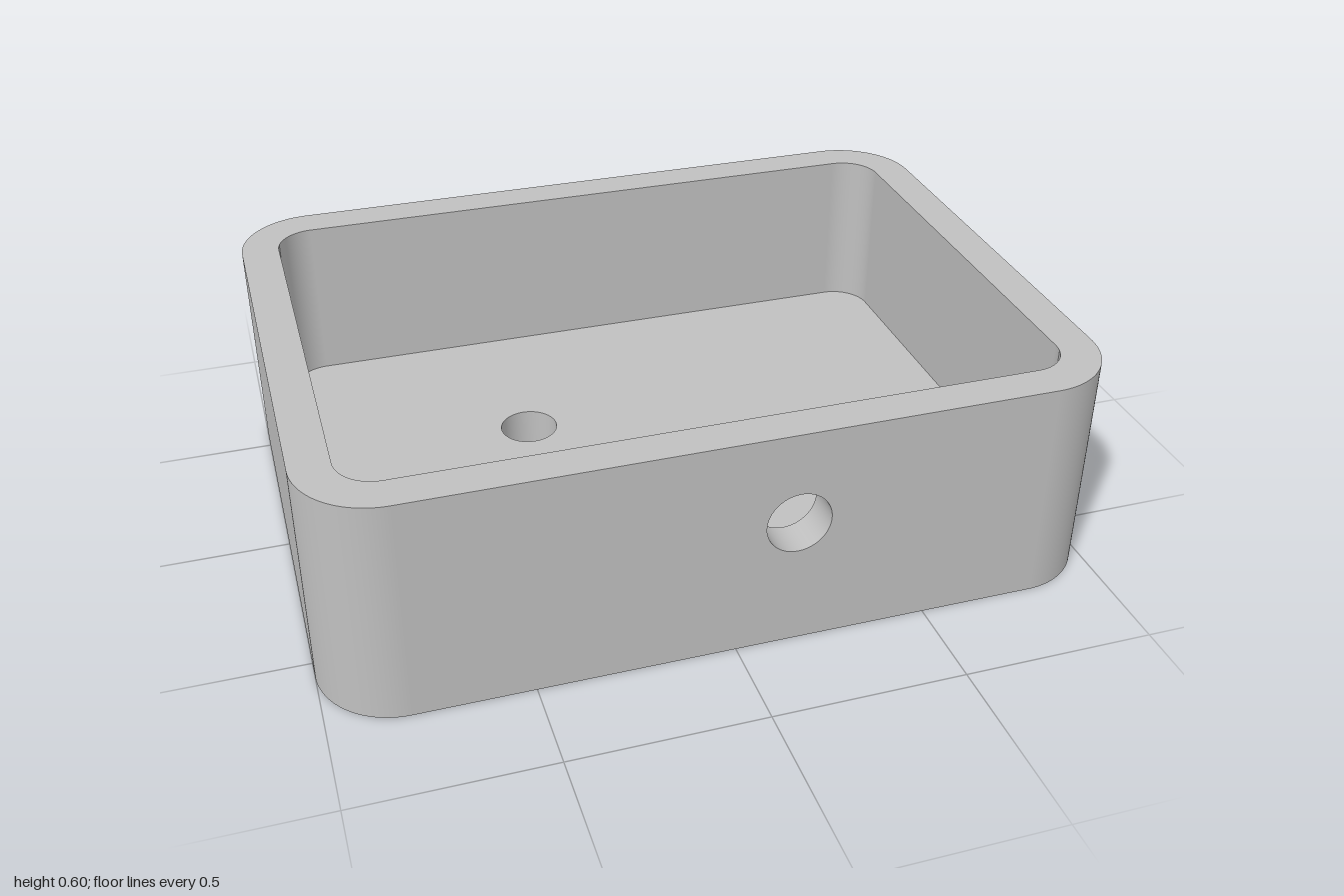
import * as THREE from 'three';

const SEG = 24;              // curve fineness
const CX = 0.8, CZ = 0.55;   // corner arc centres, shared by outer and inner walls
const R_OUT = 0.2, R_IN = 0.1;
const FLOOR = 0.15, TOP = 0.6;
const drains = [{ x: 0.3, z: 0.1, r: 0.1 }, { x: -0.3, z: -0.15, r: 0.0775 }];
const port = { x: 0.15, y: 0.35, r: 0.0825 };

const circle = (x, y, r) => new THREE.Path().absarc(x, y, r, 0, Math.PI * 2, false);

// Rectangle with four rounded corners
function roundedRect(r) {
  const s = new THREE.Shape();
  [[1, 1], [-1, 1], [-1, -1], [1, -1]].forEach(([sx, sy], i) =>
    s.absarc(sx * CX, sy * CZ, r, i * Math.PI / 2, (i + 1) * Math.PI / 2, false));
  s.closePath();
  return s;
}

// Horizontal face, facing up (dir 1) or down (dir -1)
function flat(r, y, dir, holes) {
  const s = roundedRect(r);
  s.holes = holes ?? drains.map(d => circle(d.x, -dir * d.z, d.r));
  return new THREE.ShapeGeometry(s, SEG).rotateX(-dir * Math.PI / 2).translate(0, y, 0);
}

// Upright wall around sides, back and corners; dir 1 faces outward, -1 inward
function wall(r, y0, y1, dir) {
  const pos = [], nor = [], idx = [], n = SEG * 2;
  [[1, 1], [1, -1], [-1, -1], [-1, 1]].forEach(([sx, sz], c) => {
    for (let i = 0; i <= n; i++) {
      const a = Math.PI / 2 * (1 - c - i / n), ca = Math.cos(a), sa = Math.sin(a);
      for (const y of [y0, y1]) {
        pos.push(sx * CX + r * ca, y, sz * CZ + r * sa);
        nor.push(dir * ca, 0, dir * sa);
      }
    }
  });
  for (let k = 0; k + 3 < pos.length / 3; k += 2) {
    if (dir > 0) idx.push(k, k + 2, k + 1, k + 2, k + 3, k + 1);
    else idx.push(k, k + 1, k + 2, k + 2, k + 1, k + 3);
  }
  const g = new THREE.BufferGeometry();
  g.setAttribute('position', new THREE.Float32BufferAttribute(pos, 3));
  g.setAttribute('normal', new THREE.Float32BufferAttribute(nor, 3));
  g.setIndex(idx);
  return g;
}

// Straight front face with the round port
function frontFace(y0, z, dir) {
  const s = new THREE.Shape();
  s.moveTo(-CX, y0).lineTo(CX, y0).lineTo(CX, TOP).lineTo(-CX, TOP).closePath();
  s.holes = [circle(dir * port.x, port.y, port.r)];
  return new THREE.ShapeGeometry(s, SEG).rotateY(dir > 0 ? 0 : Math.PI).translate(0, 0, z);
}

// Inward-facing lining of a round hole
const bore = (r, h) => new THREE.LatheGeometry(
  [new THREE.Vector2(r, h), new THREE.Vector2(r, 0)], SEG * 2);

export function createModel() {
  const grey = new THREE.MeshStandardMaterial({ color: 0xc0c0c0 });
  grey.name = 'grey';
  const model = new THREE.Group();
  model.name = 'openTray';
  const add = (name, geometry) => {
    const mesh = new THREE.Mesh(geometry, grey);
    mesh.name = name;
    model.add(mesh);
  };

  // Base and rim
  add('underside', flat(R_OUT, 0, -1));
  add('trayFloor', flat(R_IN, FLOOR, 1));
  add('rim', flat(R_OUT, TOP, 1, [roundedRect(R_IN)]));

  // Walls
  add('outerWall', wall(R_OUT, 0, TOP, 1));
  add('innerWall', wall(R_IN, FLOOR, TOP, -1));
  add('frontOuterFace', frontFace(0, CZ + R_OUT, 1));
  add('frontInnerFace', frontFace(FLOOR, CZ + R_IN, -1));

  // Hole linings
  drains.forEach((d, i) => add(`floorHole${i + 1}`, bore(d.r, FLOOR).translate(d.x, 0, d.z)));
  add('frontPort', bore(port.r, R_OUT - R_IN).rotateX(Math.PI / 2)
    .translate(port.x, port.y, CZ + R_IN));

  return model;
}
